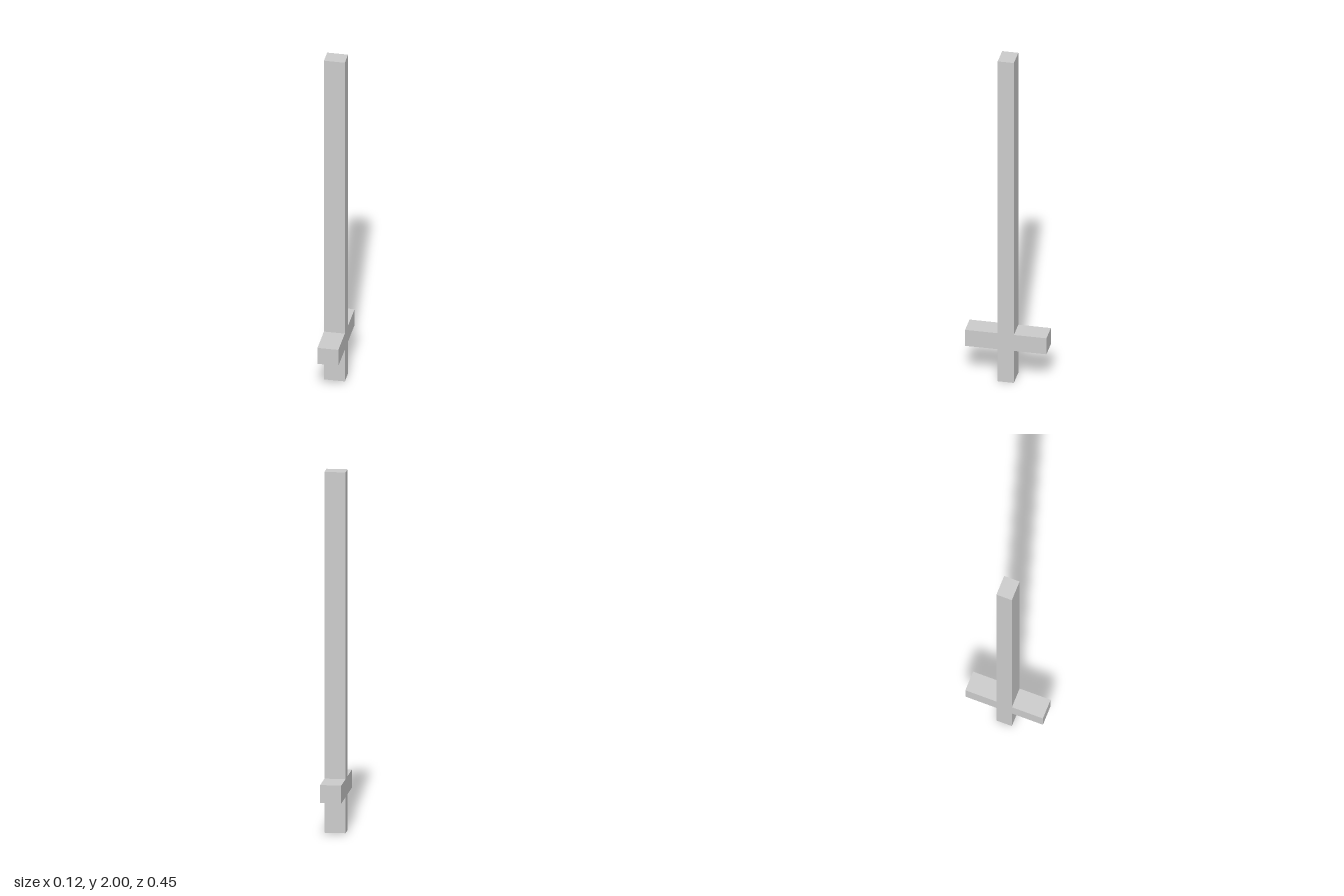
import * as THREE from 'three';

const WIDTH = 0.116;       // thickness along x
const BLADE = 0.045;       // half depth of blade and grip along z
const GUARD = 0.226;       // half length of the crossguard along z
const GUARD_BOTTOM = 0.2, GUARD_TOP = 0.3, HEIGHT = 2;

export function createModel() {
  const group = new THREE.Group();
  group.name = 'sword';

  // One half of the cross outline, from grip end to blade tip, then mirrored
  const half = [
    [BLADE, 0], [BLADE, GUARD_BOTTOM], [GUARD, GUARD_BOTTOM],
    [GUARD, GUARD_TOP], [BLADE, GUARD_TOP], [BLADE, HEIGHT],
  ];
  const outline = [...half, ...half.map(([z, y]) => [-z, y]).reverse()];
  const shape = new THREE.Shape(outline.map(([z, y]) => new THREE.Vector2(z, y)));

  // Grip, crossguard and blade are a single flush solid
  const geometry = new THREE.ExtrudeGeometry(shape, { depth: WIDTH, bevelEnabled: false });
  geometry.translate(0, 0, -WIDTH / 2);
  geometry.rotateY(Math.PI / 2);

  const material = new THREE.MeshStandardMaterial({ color: 0xcccccc, flatShading: true });
  const body = new THREE.Mesh(geometry, material);
  body.name = 'bladeGuardAndGrip';
  group.add(body);
  return group;
}
